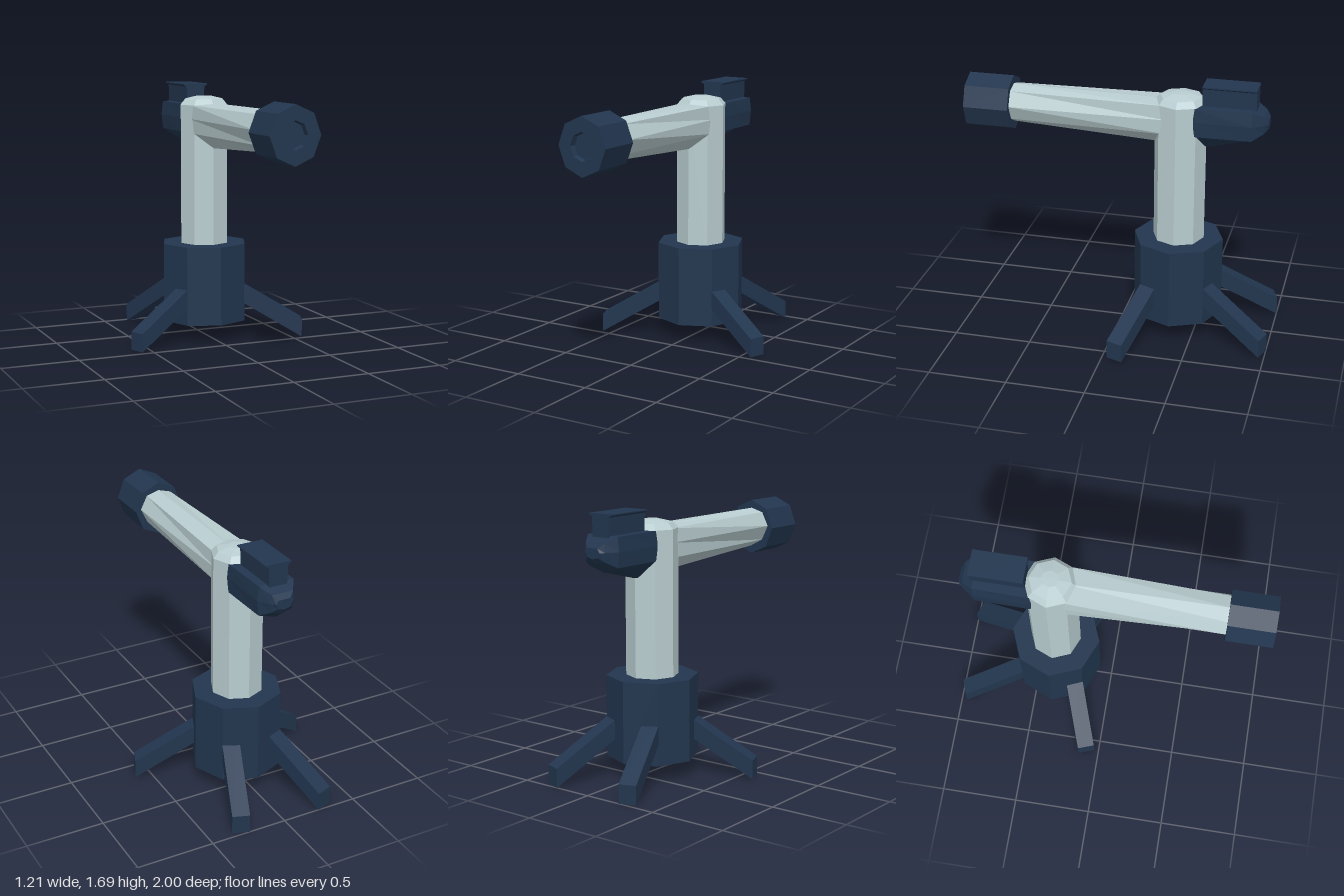
import * as THREE from 'three';

const navy = new THREE.MeshStandardMaterial({ color: 0x22364f });
navy.name = 'navy';
const pale = new THREE.MeshStandardMaterial({ color: 0xb9cdd0 });
pale.name = 'paleGrey';

const BASE_Z = -0.37;

// faceted mesh: every face keeps its own normal
function part(name, geometry, material) {
  const geo = geometry.index ? geometry.toNonIndexed() : geometry;
  geo.computeVertexNormals();
  const mesh = new THREE.Mesh(geo, material);
  mesh.name = name;
  return mesh;
}

// eight-sided lathe from [radius, height] pairs
function octLathe(profile) {
  return new THREE.LatheGeometry(profile.map(([r, y]) => new THREE.Vector2(r, y)), 8);
}

// eight-point tube section, counter-clockwise seen from +z
function section(z, top, shoulderX, shoulderY, sideX, lowY, bottom) {
  const mid = 1.47;
  return [
    [sideX, mid, z], [shoulderX, shoulderY, z], [0, top, z], [-shoulderX, shoulderY, z],
    [-sideX, mid, z], [-shoulderX, lowY, z], [0, bottom, z], [shoulderX, lowY, z],
  ];
}

// skin sections ordered from back to front, with closed ends
function loft(rings) {
  const n = rings[0].length;
  const index = [];
  for (let r = 0; r < rings.length - 1; r++) {
    for (let i = 0; i < n; i++) {
      const j = (i + 1) % n;
      const a = r * n + i, b = r * n + j, c = a + n, d = b + n;
      index.push(a, b, d, a, d, c);
    }
  }
  const last = (rings.length - 1) * n;
  for (let i = 1; i < n - 1; i++) {
    index.push(0, i + 1, i);
    index.push(last, last + i, last + i + 1);
  }
  const geo = new THREE.BufferGeometry();
  geo.setAttribute('position', new THREE.Float32BufferAttribute(rings.flat(2), 3));
  geo.setIndex(index);
  return geo;
}

// extrude an outline along z
function prism(points, depth) {
  const shape = new THREE.Shape(points.map(([x, y]) => new THREE.Vector2(x, y)));
  return new THREE.ExtrudeGeometry(shape, { depth, bevelEnabled: false });
}

export function createModel() {
  const model = new THREE.Group();
  model.name = 'pedestalWithArm';

  // base drum
  const base = part('base', new THREE.CylinderGeometry(0.29, 0.29, 0.52, 8), navy);
  base.position.set(0, 0.38, BASE_Z);
  model.add(base);

  // column with a low domed cap
  const column = part('column', octLathe([
    [0.165, 0.6], [0.165, 1.56], [0.132, 1.597], [0.055, 1.615], [0, 1.617],
  ]), pale);
  column.position.z = BASE_Z;
  model.add(column);

  // four sloping legs with upright ends: [tip x, tip z, heading in degrees]
  const legs = [[0.587, -0.083, 160], [0.297, -0.982, -110]];
  for (const [x, z, heading] of legs) {
    for (const side of [1, -1]) {
      const geo = prism([[0, 0.005], [0.5, 0.305], [0.5, 0.425], [0, 0.125]], 0.11);
      geo.translate(0, 0, -0.055);
      const leg = part(z > -0.5 ? 'frontLeg' : 'rearLeg', geo, navy);
      leg.position.set(x * side, 0, z);
      leg.rotation.y = THREE.MathUtils.degToRad(side > 0 ? heading : 180 - heading);
      model.add(leg);
    }
  }

  // forward arm, slimmer towards the front
  model.add(part('arm', loft([
    section(-0.32, 1.57, 0.12, 1.56, 0.125, 1.375, 1.275),
    section(0.72, 1.585, 0.085, 1.56, 0.13, 1.375, 1.33),
  ]), pale));

  // end cap with a shallow recess
  const capGeo = octLathe([
    [0, 0.71], [0.18, 0.71], [0.18, 1], [0.088, 1], [0.08, 0.965], [0, 0.965],
  ]);
  capGeo.rotateX(Math.PI / 2);
  capGeo.scale(0.165 / 0.18, 1, 1);
  const cap = part('endCap', capGeo, navy);
  cap.position.y = 1.457;
  model.add(cap);

  // rear housing with a blunt, tapered end
  model.add(part('rearHousing', loft([
    section(-0.925, 1.495, 0.04, 1.495, 0.055, 1.44, 1.43),
    section(-0.9, 1.525, 0.07, 1.525, 0.08, 1.415, 1.395),
    section(-0.83, 1.56, 0.115, 1.56, 0.125, 1.375, 1.34),
    section(-0.47, 1.56, 0.12, 1.56, 0.125, 1.375, 1.25),
  ]), navy));

  // mounting rail with a flared top
  const rail = part('topRail', prism([
    [-0.06, 1.55], [0.06, 1.55], [0.064, 1.67], [0.085, 1.683],
    [0.085, 1.69], [-0.085, 1.69], [-0.085, 1.683], [-0.064, 1.67],
  ], 0.335), navy);
  rail.position.z = -0.85;
  model.add(rail);

  return model;
}
